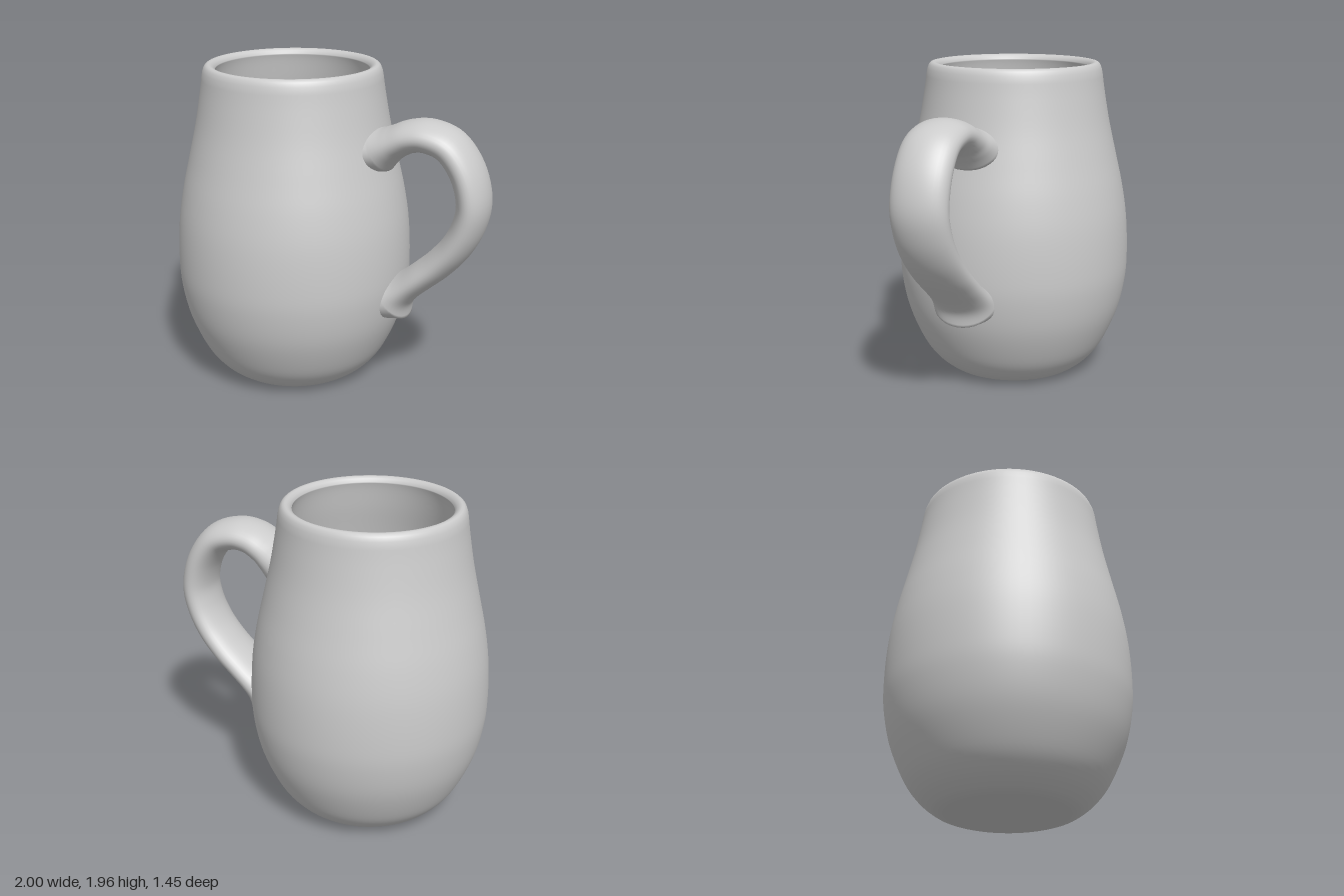
import * as THREE from 'three';

const BODY_X = -0.275;
const grey = () => new THREE.MeshStandardMaterial({ color: 0xcccccc });
const v2 = (list) => list.map(([x, y]) => new THREE.Vector2(x, y));

// Outer wall, from the foot up to the start of the rim
const outerWall = new THREE.SplineCurve(v2([
  [0.385, 0.005], [0.43, 0.025], [0.51, 0.09], [0.59, 0.2], [0.675, 0.4], [0.717, 0.6], [0.725, 0.78],
  [0.713, 1.0], [0.682, 1.2], [0.637, 1.4], [0.592, 1.6], [0.56, 1.78], [0.544, 1.89],
])).getPoints(60);

// Inner wall, from the rim down to the floor
const innerWall = new THREE.SplineCurve(v2([
  [0.462, 1.93], [0.475, 1.88], [0.5, 1.75], [0.535, 1.6], [0.58, 1.4], [0.625, 1.2], [0.655, 1.0],
  [0.665, 0.78], [0.655, 0.6], [0.612, 0.4], [0.53, 0.22], [0.43, 0.11], [0.35, 0.08], [0.28, 0.07],
])).getPoints(50);

function bodyRadius(y) {
  const i = Math.max(1, outerWall.findIndex((p) => p.y >= y));
  const a = outerWall[i - 1], b = outerWall[i];
  return THREE.MathUtils.mapLinear(y, a.y, b.y, a.x, b.x);
}

function makeBody() {
  const foot = v2([[0, 0], [0.36, 0], [0.372, 0.001]]);
  const rim = v2([[0.538, 1.92], [0.528, 1.945], [0.515, 1.957], [0.502, 1.96], [0.49, 1.958], [0.474, 1.948]]);
  const profile = [...foot, ...outerWall, ...rim, ...innerWall, new THREE.Vector2(0, 0.07)];
  const body = new THREE.Mesh(new THREE.LatheGeometry(profile, 80), grey());
  body.name = 'mugBody';
  body.position.x = BODY_X;
  return body;
}

// Oval handle swept along a curve, flared where it meets the body
function makeHandle() {
  // x, y, z of the centre, then half thickness and half width
  const stations = [
    [0.31, 1.5, 0.055, 0.14, 0.195], [0.37, 1.535, 0.065, 0.113, 0.185], [0.43, 1.57, 0.075, 0.098, 0.175],
    [0.52, 1.612, 0.083, 0.094, 0.17], [0.63, 1.623, 0.085, 0.094, 0.17], [0.76, 1.575, 0.085, 0.095, 0.17],
    [0.86, 1.44, 0.085, 0.095, 0.172], [0.905, 1.27, 0.085, 0.095, 0.174], [0.88, 1.12, 0.08, 0.094, 0.175],
    [0.81, 0.98, 0.072, 0.092, 0.178], [0.71, 0.86, 0.062, 0.09, 0.18], [0.61, 0.768, 0.055, 0.088, 0.182],
    [0.52, 0.69, 0.047, 0.09, 0.184], [0.455, 0.635, 0.043, 0.11, 0.19], [0.4, 0.588, 0.042, 0.172, 0.198],
  ];
  const curve = (f) => new THREE.CatmullRomCurve3(stations.map(f), false, 'catmullrom');
  const path = curve(([x, y, z]) => new THREE.Vector3(x, y, z));
  const size = curve(([, , , h, w]) => new THREE.Vector3(h, w, 0));
  const rings = 84, sides = 36, pos = [], index = [];
  for (let i = 0; i <= rings; i++) {
    const t = i / rings, c = path.getPoint(t), s = size.getPoint(t), d = path.getTangent(t);
    const len = Math.hypot(d.x, d.y);
    for (let j = 0; j < sides; j++) {
      const a = (j / sides) * Math.PI * 2, n = s.x * Math.cos(a);
      let x = c.x - (d.y / len) * n;
      const y = c.y + (d.x / len) * n, z = c.z + s.y * Math.sin(a);
      const surface = BODY_X + Math.sqrt(bodyRadius(y) ** 2 - z * z);
      // End rings sit just under the body surface; the rest never cut through the wall
      x = i === 0 || i === rings ? surface - 0.02 : Math.max(x, surface - 0.015);
      pos.push(x, y, z);
      if (i < rings) {
        const k = i * sides, p = k + j, q = k + (j + 1) % sides;
        index.push(p, q, p + sides, q, q + sides, p + sides);
      }
    }
  }
  const geo = new THREE.BufferGeometry();
  geo.setAttribute('position', new THREE.Float32BufferAttribute(pos, 3));
  geo.setIndex(index);
  geo.computeVertexNormals();
  const handle = new THREE.Mesh(geo, grey());
  handle.name = 'handle';
  return handle;
}

export function createModel() {
  const mug = new THREE.Group();
  mug.name = 'mug';
  mug.add(makeBody(), makeHandle());
  return mug;
}
